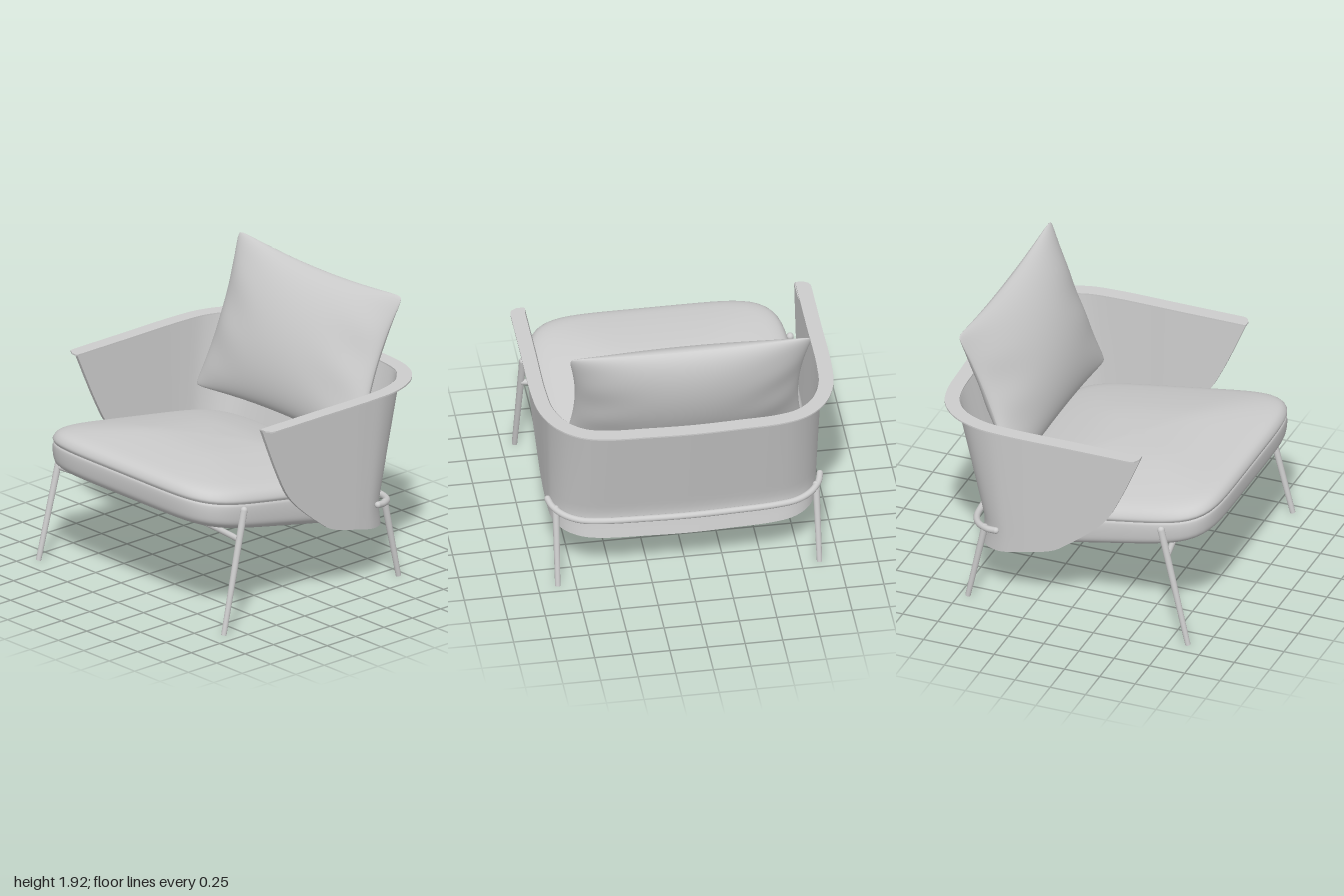
import * as THREE from 'three';
import { mergeVertices } from 'three/addons/utils/BufferGeometryUtils.js';

const V = (x, y, z) => new THREE.Vector3(x, y, z);
const clamp = THREE.MathUtils.clamp;

// piecewise interpolation through [key, value] pairs with falling keys
function lookup(table, key) {
  for (let i = 0; i < table.length - 1; i++) {
    const [k0, v0] = table[i], [k1, v1] = table[i + 1];
    if (key >= k1) return v0 + (v1 - v0) * clamp((key - k0) / (k1 - k0), 0, 1);
  }
  return table[table.length - 1][1];
}

// smooth surface from a function of two parameters in 0..1
function surface(fn, nu, nv) {
  const pos = [], idx = [];
  for (let i = 0; i <= nu; i++)
    for (let j = 0; j <= nv; j++) pos.push(...fn(i / nu, j / nv).toArray());
  for (let i = 0; i < nu; i++)
    for (let j = 0; j < nv; j++) {
      const a = i * (nv + 1) + j, b = a + nv + 1;
      idx.push(a, b, a + 1, b, b + 1, a + 1);
    }
  let g = new THREE.BufferGeometry();
  g.setAttribute('position', new THREE.Float32BufferAttribute(pos, 3));
  g.setIndex(idx);
  g = mergeVertices(g, 1e-5);
  g.computeVertexNormals();
  return g;
}

const mirrored = (half) => [...half, ...half.slice(0, -1).reverse().map((p) => V(-p.x, p.y, p.z))];

export function createModel() {
  const model = new THREE.Group();
  const grey = new THREE.MeshStandardMaterial({ color: 0xcccccc, side: THREE.DoubleSide });
  grey.name = 'light grey';
  const add = (name, geometry, parent = model) => {
    const m = new THREE.Mesh(geometry, grey);
    m.name = name;
    parent.add(m);
    return m;
  };
  const group = (name) => {
    const g = new THREE.Group();
    g.name = name;
    model.add(g);
    return g;
  };

  // plan curve of the shell, from the left arm round the back to the right arm
  const TOP = 1.36;
  const plan = new THREE.CatmullRomCurve3(mirrored([
    V(0.92, 0, 0.555), V(0.92, 0, 0.1), V(0.92, 0, -0.38), V(0.9, 0, -0.57), V(0.83, 0, -0.73),
    V(0.72, 0, -0.83), V(0.58, 0, -0.873), V(0.3, 0, -0.89), V(0, 0, -0.9)]), false, 'centripetal');
  const planPoint = (u, off) => {
    const p = plan.getPointAt(u), t = plan.getTangentAt(u);
    return V(p.x - t.z * off, 0, p.z + t.x * off);
  };

  // lower edge height along z, and lean of the back with height
  const edgeCurve = new THREE.SplineCurve([[0.555, 1.36], [0.4, 1.0], [0.274, 0.785], [0.03, 0.57],
    [-0.137, 0.474], [-0.5, 0.4], [-0.9, 0.36]].map((p) => new THREE.Vector2(...p)));
  const edge = edgeCurve.getPoints(80).map((p) => [p.x, p.y]);
  const lean = [[1.36, 0], [0.57, 0.2], [0.5, 0.207], [0.36, 0.18]];
  const shellPoint = (u, y, off) => {
    const z0 = plan.getPointAt(u).z, p = planPoint(u, off);
    const w = clamp((-0.3 - z0) / 0.58, 0, 1);
    return V(p.x * (1 - 0.035 * (TOP - y)), y, p.z + w * lookup(lean, y));
  };
  const lowY = (u) => lookup(edge, plan.getPointAt(u).z);
  const wall = (off) => (u, v) => shellPoint(u, TOP + (lowY(u) - TOP) * v, off);

  const shell = group('shell');
  add('shellOutside', surface(wall(0), 160, 20), shell);
  add('shellInside', surface(wall(-0.025), 160, 20), shell);
  add('shellEdge', surface((u, v) => shellPoint(u, lowY(u), -0.025 * v), 160, 1), shell);

  // flat rim on top, with rounded outer corners at the arm ends
  const outer = [], inner = [];
  for (let i = 0; i <= 200; i++) {
    const u = i / 200, e = clamp(Math.min(u, 1 - u) / 0.014, 0, 1);
    const o = planPoint(u, 0.03 + 0.05 * Math.sqrt(1 - (1 - e) ** 2)), n = planPoint(u, -0.018);
    outer.push(new THREE.Vector2(o.x, -o.z));
    inner.unshift(new THREE.Vector2(n.x, -n.z));
  }
  const rim = new THREE.ExtrudeGeometry(new THREE.Shape([...outer, ...inner]), { depth: 0.01, bevelEnabled: false });
  add('shellRim', rim.rotateX(-Math.PI / 2).translate(0, TOP - 0.004, 0), shell);

  // seat: superellipse rings scaled inward, above and below a tilted seam
  const ring = (a, s, rise, spread) => {
    const c = Math.cos(a), n = Math.sin(a);
    const r = s / Math.pow(c ** 6 + n ** 6, 1 / 6);
    const x = 0.865 * c * r, z = 0.157 + 0.82 * n * r;
    return V(x, 0.74 + 0.163 * z + rise - spread * (0.61 - z), z);
  };
  const profile = (points) => new THREE.CatmullRomCurve3(points.map(([s, h]) => V(s, h, 0)), false, 'centripetal');
  const topProfile = profile([[0.99, 0], [1, 0.02], [0.992, 0.045], [0.965, 0.075], [0.91, 0.1],
    [0.8, 0.125], [0.6, 0.158], [0.35, 0.187], [0, 0.2]]);
  const baseProfile = profile([[0.99, 0], [0.998, -0.015], [0.998, -0.09], [0.985, -0.145], [0.95, -0.175],
    [0.88, -0.195], [0.6, -0.22], [0, -0.225]]);
  const cushion = (prof, spread) => surface((u, v) => {
    const p = prof.getPoint(v);
    return ring(u * Math.PI * 2, Math.max(p.x, 0), p.y, spread * clamp(-p.y / 0.2, 0, 1));
  }, 120, 32);
  const seat = group('seat');
  add('seatCushionTop', cushion(topProfile, 0), seat);
  add('seatCushionBase', cushion(baseProfile, 0.044), seat);

  // back pillow: two bulging sheets joined at a pinched seam
  const pillowSheet = (side) => surface((a, b) => {
    const u = Math.sin((a - 0.5) * Math.PI), v = Math.sin((b - 0.5) * Math.PI);
    const round = 1 - 0.03 * (u * v) ** 16;
    const x = 0.815 * u * (1 - 0.085 * (1 - v * v)) * round;
    const h = 0.5 * v * (1 - 0.08 * (1 - u * u)) * round;
    const fill = (1 - u * u) * (1 - v * v);
    // soft folds running in from the short sides
    const fold = 0.007 * Math.sin(9 * v + 4 * u) * u ** 4 * (1 - u * u) * (1 - v * v) * 4;
    const d = side * (0.19 * Math.pow(Math.max(fill, 0), 0.58) + fold);
    return V(x, 1.43 + h + d * 0.36, -0.595 - 0.39 * h + d * 0.93);
  }, 56, 48);
  const pillow = group('backPillow');
  add('pillowFront', pillowSheet(1), pillow);
  add('pillowBack', pillowSheet(-1), pillow);

  // tapered leg with a rounded head
  const leg = (name, top, foot, r0, r1) => {
    const g = group(name), dir = top.clone().sub(foot);
    const m = add(name + 'Rod', new THREE.CylinderGeometry(r0, r1, dir.length(), 20), g);
    m.position.copy(top).add(foot).multiplyScalar(0.5);
    m.quaternion.setFromUnitVectors(V(0, 1, 0), dir.normalize());
    add(name + 'Head', new THREE.SphereGeometry(r0, 20, 12), g).position.copy(top);
  };
  for (const [side, s] of [['left', 1], ['right', -1]]) {
    leg(side + 'FrontLeg', V(0.888 * s, 0.825, 0.685), V(0.912 * s, 0.004, 0.885), 0.024, 0.018);
    leg(side + 'RearLeg', V(0.865 * s, 0.55, -0.575), V(0.87 * s, 0.004, -0.692), 0.023, 0.018);
  }

  // round rails: under the seat front, and round the back of the shell
  const rail = (name, half, r) => {
    const pts = mirrored(half), g = group(name);
    add(name + 'Bar', new THREE.TubeGeometry(new THREE.CatmullRomCurve3(pts, false, 'centripetal'), 80, r, 14), g);
    for (const p of [pts[0], pts[pts.length - 1]])
      add(name + 'End', new THREE.SphereGeometry(r, 14, 10), g).position.copy(p);
  };
  rail('frontRail', [V(0.885, 0.627, 0.725), V(0.5, 0.608, 0.655), V(0, 0.597, 0.625)], 0.02);
  rail('backRail', [V(0.905, 0.565, -0.48), V(0.885, 0.553, -0.55), V(0.82, 0.538, -0.635),
    V(0.72, 0.525, -0.69), V(0.58, 0.518, -0.712), V(0.3, 0.512, -0.722), V(0, 0.51, -0.728)], 0.022);

  return model;
}
